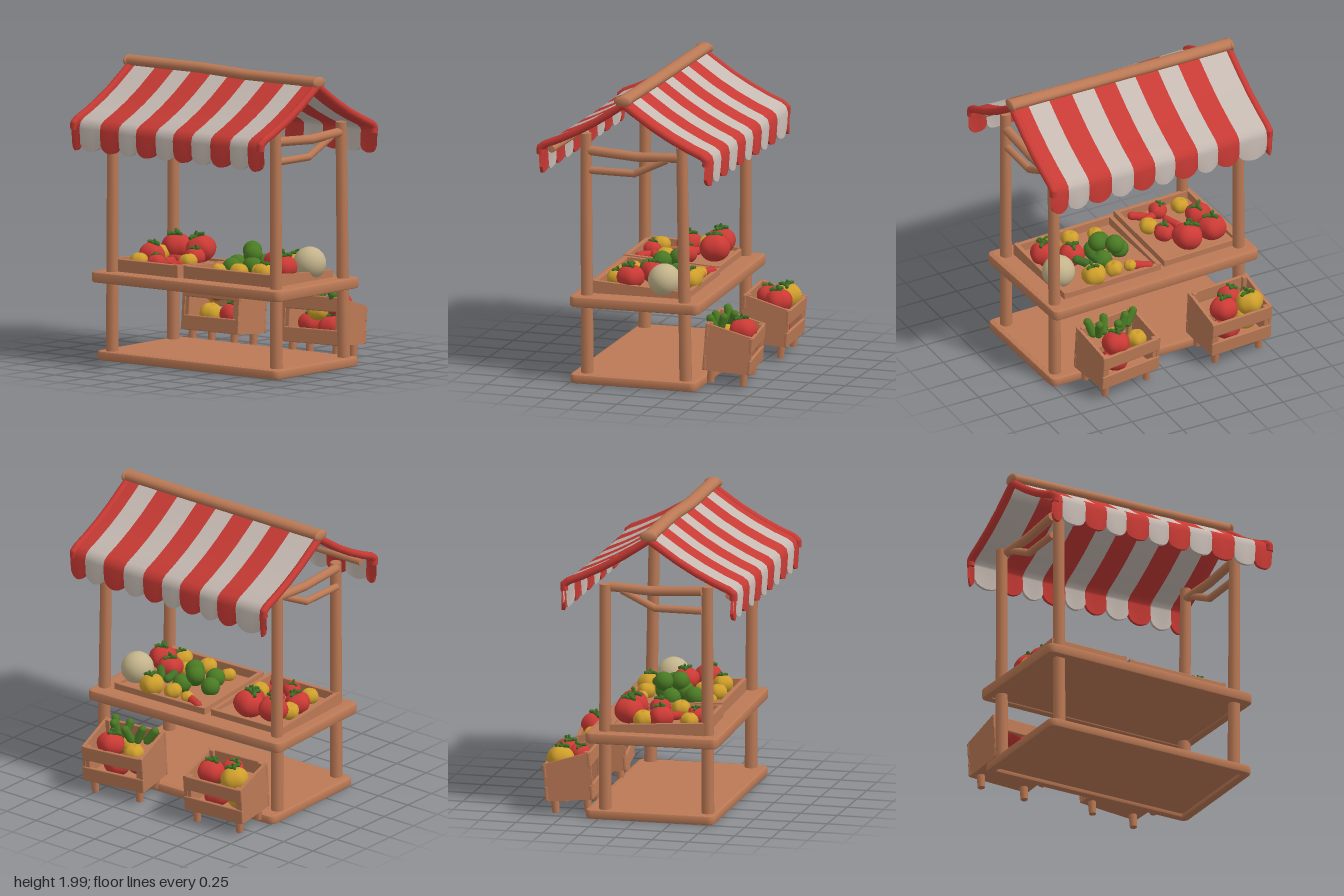
import * as THREE from 'three';
import { mergeGeometries, toCreasedNormals } from 'three/addons/utils/BufferGeometryUtils.js';
import { RoundedBoxGeometry } from 'three/addons/geometries/RoundedBoxGeometry.js';

const paint = (name, color, side = THREE.FrontSide) => {
  const m = new THREE.MeshStandardMaterial({ color, side });
  m.name = name;
  return m;
};

export function createModel() {
  const wood = paint('wood', 0xbb7955);
  const redCloth = paint('red cloth', 0xc73a34, THREE.DoubleSide);
  const whiteCloth = paint('white cloth', 0xc5b9b1, THREE.DoubleSide);
  const red = paint('red fruit', 0xcc3a35);
  const yellow = paint('yellow fruit', 0xcf9f2c);
  const green = paint('green fruit', 0x4a7a24);
  const leaf = paint('stem green', 0x3f7026);
  const cream = paint('cream melon', 0xc4b48c);

  const stall = new THREE.Group();
  stall.name = 'marketStall';
  const add = (name, geo, mat, parent = stall) => {
    const m = new THREE.Mesh(geo, mat);
    m.name = name;
    parent.add(m);
    return m;
  };
  const V = (p) => new THREE.Vector3(...p);

  // Round rod through a list of points, with ball joints at the bends
  const rodGeo = (pts, r, r2 = r, sides = 10) => {
    const parts = [];
    for (let i = 0; i < pts.length - 1; i++) {
      const a = V(pts[i]), b = V(pts[i + 1]), dir = b.clone().sub(a);
      const g = new THREE.CylinderGeometry(r2, r, dir.length(), sides);
      g.applyQuaternion(new THREE.Quaternion().setFromUnitVectors(new THREE.Vector3(0, 1, 0), dir.normalize()));
      g.translate(...a.add(b).multiplyScalar(0.5).toArray());
      parts.push(g);
      if (i > 0) parts.push(new THREE.SphereGeometry(r, 10, 8).translate(...pts[i]));
    }
    return mergeGeometries(parts);
  };
  const rod = (name, pts, r, mat = wood, parent = stall, r2 = r) => add(name, rodGeo(pts, r, r2), mat, parent);
  const box = (name, w, h, d, x, y, z, parent = stall, bevel = 0.012) => {
    const m = add(name, new RoundedBoxGeometry(w, h, d, 2, Math.min(bevel, Math.min(w, h, d) * 0.4)), wood, parent);
    m.position.set(x, y, z);
    return m;
  };

  // Base and counter: a panel set in a border with rounded corners, open below
  const roundRect = (path, w, d, r) => {
    const x = w / 2 - r, y = d / 2 - r;
    [[x, y], [-x, y], [-x, -y], [x, -y]].forEach(([cx, cy], i) => path.absarc(cx, cy, r, i * Math.PI / 2, (i + 1) * Math.PI / 2));
    return path;
  };
  const platform = (name, w, d, cx, cz, y0, y1, under, ry) => {
    const g = new THREE.Group();
    g.name = name;
    g.position.set(cx, y0, cz);
    g.rotation.y = ry;
    stall.add(g);
    const bevel = 0.014, h = y1 - y0;
    const shape = roundRect(new THREE.Shape(), w, d, 0.045);
    shape.holes.push(roundRect(new THREE.Path(), w - 0.12, d - 0.12, 0.01));
    const ring = new THREE.ExtrudeGeometry(shape, { depth: h - bevel * 2, bevelSize: bevel, bevelThickness: bevel, bevelOffset: -bevel, bevelSegments: 2, curveSegments: 5 });
    ring.rotateX(-Math.PI / 2).translate(0, bevel, 0);
    add(name + 'Border', toCreasedNormals(ring, 0.7), wood, g);
    box(name + 'Panel', w - 0.06, h - under, d - 0.06, 0, (h + under) / 2 + 0.001, 0, g, 0.002);
  };
  platform('base', 0.88, 1.546, -0.08, 0.005, 0.01, 0.072, 0.025, 0.026);
  platform('counter', 0.9, 1.58, -0.085, -0.01, 0.53, 0.602, 0.01, 0.044);

  // Posts, cross beams and bent braces
  rod('frontRightPost', [[-0.4, 0.04, 0.7], [-0.41, 1.7, 0.7]], 0.042, wood, stall, 0.037);
  rod('frontLeftPost', [[0.29, 0.04, 0.7], [0.262, 1.65, 0.7]], 0.042, wood, stall, 0.037);
  rod('backRightPost', [[-0.475, 0.04, -0.66], [-0.47, 1.61, -0.66]], 0.042, wood, stall, 0.037);
  rod('backLeftPost', [[0.215, 0.04, -0.715], [0.215, 1.6, -0.715]], 0.042, wood, stall, 0.037);
  for (const [z, dx] of [[0.7, 0], [-0.69, -0.05]]) {
    rod('crossBeam', [[-0.39 + dx, 1.585, z], [-0.05 + dx, 1.565, z], [0.25 + dx, 1.58, z]], 0.032);
    rod('bentBrace', [[-0.39 + dx, 1.45, z], [-0.07 + dx, 1.45, z], [0.16 + dx, 1.56, z]], 0.025);
  }
  rod('eaveBeam', [[-0.64, 1.58, 0.74], [-0.64, 1.575, -0.74]], 0.024);

  // Ridge pole, wider than it is tall
  const ridge = rodGeo([[-0.082, 1.963, -0.82], [-0.077, 1.966, -0.2], [-0.086, 1.957, 0.2], [-0.082, 1.962, 0.82]], 0.037, 0.037, 14);
  add('ridgePole', ridge, wood).scale.x = 1.6 / 1.2;
  for (const z of [-0.82, 0.82]) {
    const cap = add('ridgePoleEnd', new THREE.SphereGeometry(1, 14, 10), wood);
    cap.scale.set(0.062, 0.038, 0.02);
    cap.position.set(-0.11, 1.962, z);
  }

  // Striped awning: each stripe is a closed cloth section swept along z, ending in a scallop
  const slope = [[0.0, 1.95], [0.1, 1.883], [0.2, 1.818], [0.33, 1.745], [0.46, 1.683], [0.56, 1.642], [0.593, 1.617]];
  const stripe = (s, z0, z1) => {
    const steps = 10, pos = [], idx = [];
    let n = 0;
    for (let j = 0; j <= steps; j++) {
      const v = j / steps, z = z0 + (z1 - z0) * v;
      const bottom = 1.475 - 0.05 * Math.sqrt(Math.max(0, Math.sin(Math.PI * v)));
      const dip = 0.012 * Math.cos(z * 1.9);
      const flare = 0.005 * Math.cos(v * Math.PI * 2);
      const outer = [...slope, [0.604, 1.575], [0.602 - flare, bottom]];
      const inner = outer.map(([d, y], i) => i >= slope.length ? [d - 0.022, y] : [Math.max(0, d - 0.014), y - 0.028]).reverse();
      const loop = [...outer, ...inner];
      n = loop.length;
      for (const [d, y] of loop) {
        const k = d / 0.6;
        pos.push(-0.11 + s * (d * (s < 0 ? 0.975 : 0.99) - dip * 0.3 * k), y - (y > 1.5 ? dip * k : 0), z);
      }
    }
    for (let j = 0; j < steps; j++) for (let i = 0; i < n; i++) {
      const a = j * n + i, b = j * n + (i + 1) % n, c = a + n, d = b + n;
      if (s > 0) idx.push(a, c, b, b, c, d);
      else idx.push(a, b, c, b, d, c);
    }
    const g = new THREE.BufferGeometry();
    g.setAttribute('position', new THREE.Float32BufferAttribute(pos, 3));
    g.setIndex(idx);
    return toCreasedNormals(g, 1.1);
  };
  for (const s of [1, -1]) {
    const edges = [0.825, 0.7, 0.545, 0.375, 0.21, 0.05, -0.1, -0.27, -0.42, -0.58, s > 0 ? -0.785 : -0.755, -0.825];
    for (let i = 0; i < edges.length - 1; i++) {
      add('awningStripe', stripe(s, edges[i], edges[i + 1]), i % 2 ? whiteCloth : redCloth);
    }
    // Rolled red hem along both gable edges
    for (const z of [0.808, -0.808]) {
      rod('awningHem', [...slope, [0.592, 1.575]].map(([d, y]) => [-0.11 + s * d * 0.98, y - 0.012, z]), 0.026, redCloth);
    }
  }

  // Open wooden box: taller on -x (hBack) than on +x (hFront)
  const crate = (name, w, d, hBack, hFront, t, slatted) => {
    const g = new THREE.Group();
    g.name = name;
    stall.add(g);
    box('crateFloor', w, t, d, 0, t / 2, 0, g, 0.005);
    const end = new THREE.Shape([[-w / 2, 0], [w / 2 - 0.01, 0], [w / 2, hFront], [-w / 2, hBack]].map((p) => new THREE.Vector2(...p)));
    const endGeo = new THREE.ExtrudeGeometry(end, { depth: t, bevelEnabled: false });
    for (const z of [-d / 2, d / 2 - t]) add('crateEnd', endGeo, wood, g).position.z = z;
    for (const [x, h] of [[-w / 2 + t / 2, hBack], [w / 2 - t / 2, hFront]]) {
      if (!slatted) { box('traySide', t, h, d, x, h / 2, 0, g, 0.006); continue; }
      for (const y of [0.05, h - 0.05]) box('crateSlat', t, 0.1, d + 0.008, x, y, 0, g, 0.008);
      for (const z of [-1, 1]) {
        box('crateCorner', 0.035, h + 0.005, 0.035, x * 0.9, h / 2, z * (d / 2 - 0.035), g, 0.006);
        rod('crateLeg', [[x * 0.72, 0.01, z * (d / 2 - 0.06)], [x * 0.72, -0.09, z * (d / 2 - 0.06)]], 0.028, wood, g, 0.024);
      }
    }
    return g;
  };
  for (const [name, d, x, z] of [['frontTray', 0.745, -0.07, 0.265], ['backTray', 0.58, -0.12, -0.43]]) {
    const tray = crate(name, 0.66, d, 0.09, 0.05, 0.03, false);
    tray.position.set(x, 0.598, z);
    tray.rotation.y = 0.044;
  }
  for (const [name, x, z, ry] of [['frontFloorCrate', 0.495, 0.35, 0.15], ['backFloorCrate', 0.475, -0.5, 0.08]]) {
    const c = crate(name, 0.325, 0.46, 0.32, 0.25, 0.022, true);
    c.position.set(x, 0.115, z);
    c.rotation.set(0, ry, -0.08);
  }

  // Ribbed round fruit with a fat leafy stalk
  const fruitGeo = (lobes) => {
    const g = new THREE.SphereGeometry(1, 24, 14), p = g.attributes.position;
    for (let i = 0; i < p.count; i++) {
      const x = p.getX(i), y = p.getY(i), z = p.getZ(i), r = Math.hypot(x, z);
      const k = 1 + 0.05 * r * Math.cos(lobes * Math.atan2(z, x));
      p.setXYZ(i, x * k, y * 0.9 - 0.2 * Math.max(0, y) * Math.exp(-r * r * 14), z * k);
    }
    g.computeVertexNormals();
    return g;
  };
  const ribbed = fruitGeo(5), plain = new THREE.SphereGeometry(1, 20, 14);
  const leafGeo = mergeGeometries([0, 1, 2].map((i) => {
    const a = i * 2.1 + 0.4, c = Math.cos(a), s = Math.sin(a);
    return rodGeo([[0, 0.8, 0], [c * 0.3, 0.93, s * 0.3], [c * 0.58, 0.87, s * 0.58]], 0.14, 0.12, 7);
  }).concat(rodGeo([[0, 0.7, 0], [0.02, 1.0, 0], [0.12, 1.18, 0.05]], 0.1, 0.09, 7)));
  const fruit = (name, mat, x, y, z, r, stalk = true, geo = ribbed) => {
    const g = new THREE.Group();
    g.name = name;
    g.position.set(x, y, z);
    g.rotation.set(Math.sin(x * 40) * 0.2, x * 17 + z * 23, Math.cos(z * 31) * 0.2);
    g.scale.setScalar(r);
    add(name + 'Body', geo, mat, g);
    if (stalk) add(name + 'Stalk', leafGeo, leaf, g);
    stall.add(g);
  };
  const pepper = (mat, x, y, z, rx, rz) => {
    const m = add('longPepper', new THREE.CapsuleGeometry(0.028, 0.09, 4, 10), mat);
    m.position.set(x, y, z);
    m.rotation.set(rx, 0, rz);
  };

  // Front tray produce
  fruit('melon', cream, 0.095, 0.71, 0.57, 0.11, false, plain);
  for (const [x, y, z, r] of [[-0.15, 0.71, 0.55, 0.092], [-0.04, 0.72, 0.4, 0.085]]) fruit('tomato', red, x, y, z, r);
  for (const [x, y, z, r] of [[0.2, 0.68, 0.36, 0.082], [-0.27, 0.68, 0.48, 0.068], [-0.17, 0.665, 0.36, 0.058],
    [-0.29, 0.67, 0.28, 0.062], [0.18, 0.67, 0.2, 0.06], [-0.28, 0.66, 0.1, 0.05], [0.18, 0.66, 0.08, 0.042]]) {
    fruit('yellowFruit', yellow, x, y, z, r, r > 0.066);
  }
  for (const [x, y, z] of [[0.04, 0.76, 0.12], [0.06, 0.68, 0.22], [-0.08, 0.68, 0.22], [-0.03, 0.67, 0.05],
    [-0.17, 0.67, 0.12], [-0.05, 0.75, 0.2]]) fruit('lime', green, x, y, z, 0.064, false, plain);
  for (const [x, z, a] of [[0.08, 0.38, 0.8], [0.09, 0.29, 1.4]]) pepper(leaf, x, 0.72, z, 1.3, a);
  pepper(red, 0.2, 0.65, 0.0, 1.5, 0.4);

  // Back tray produce
  for (const [x, y, z, r] of [[0.11, 0.715, -0.39, 0.102], [0.09, 0.72, -0.58, 0.098], [-0.05, 0.685, -0.3, 0.07],
    [-0.14, 0.69, -0.6, 0.085]]) fruit('tomato', red, x, y, z, r);
  fruit('tomato', red, -0.33, 0.67, -0.4, 0.062);
  for (const [x, y, z, r] of [[-0.18, 0.675, -0.25, 0.062], [-0.32, 0.67, -0.56, 0.06], [-0.02, 0.68, -0.63, 0.065]]) fruit('yellowFruit', yellow, x, y, z, r, false);
  for (const [x, z, a] of [[-0.34, -0.26, 0.5], [-0.28, -0.3, -0.5], [-0.17, -0.42, 1.2], [-0.06, -0.46, 0.3]]) pepper(red, x, 0.66, z, 1.5, a);

  // Floor crate produce
  for (const [x, y, z, r] of [[0.585, 0.37, 0.4, 0.092], [0.54, 0.22, 0.38, 0.09], [0.49, 0.24, 0.24, 0.08],
    [0.55, 0.38, -0.425, 0.092], [0.44, 0.39, -0.52, 0.075], [0.53, 0.22, -0.46, 0.09]]) fruit('tomato', red, x, y, z, r);
  for (const [x, y, z, r] of [[0.555, 0.34, 0.23, 0.066], [0.45, 0.33, 0.34, 0.07], [0.545, 0.375, -0.62, 0.092], [0.49, 0.22, -0.62, 0.08]]) fruit('yellowFruit', yellow, x, y, z, r, r > 0.08);
  for (const [x, z, a, b] of [[0.41, 0.5, 0.3, 0.3], [0.46, 0.46, 0.1, -0.3], [0.41, 0.4, -0.2, 0.4],
    [0.44, 0.27, -0.4, 0.1], [0.41, 0.2, -0.6, 0.2], [0.49, 0.33, 0.3, -0.4]]) pepper(green, x, 0.42, z, a, b);

  return stall;
}
